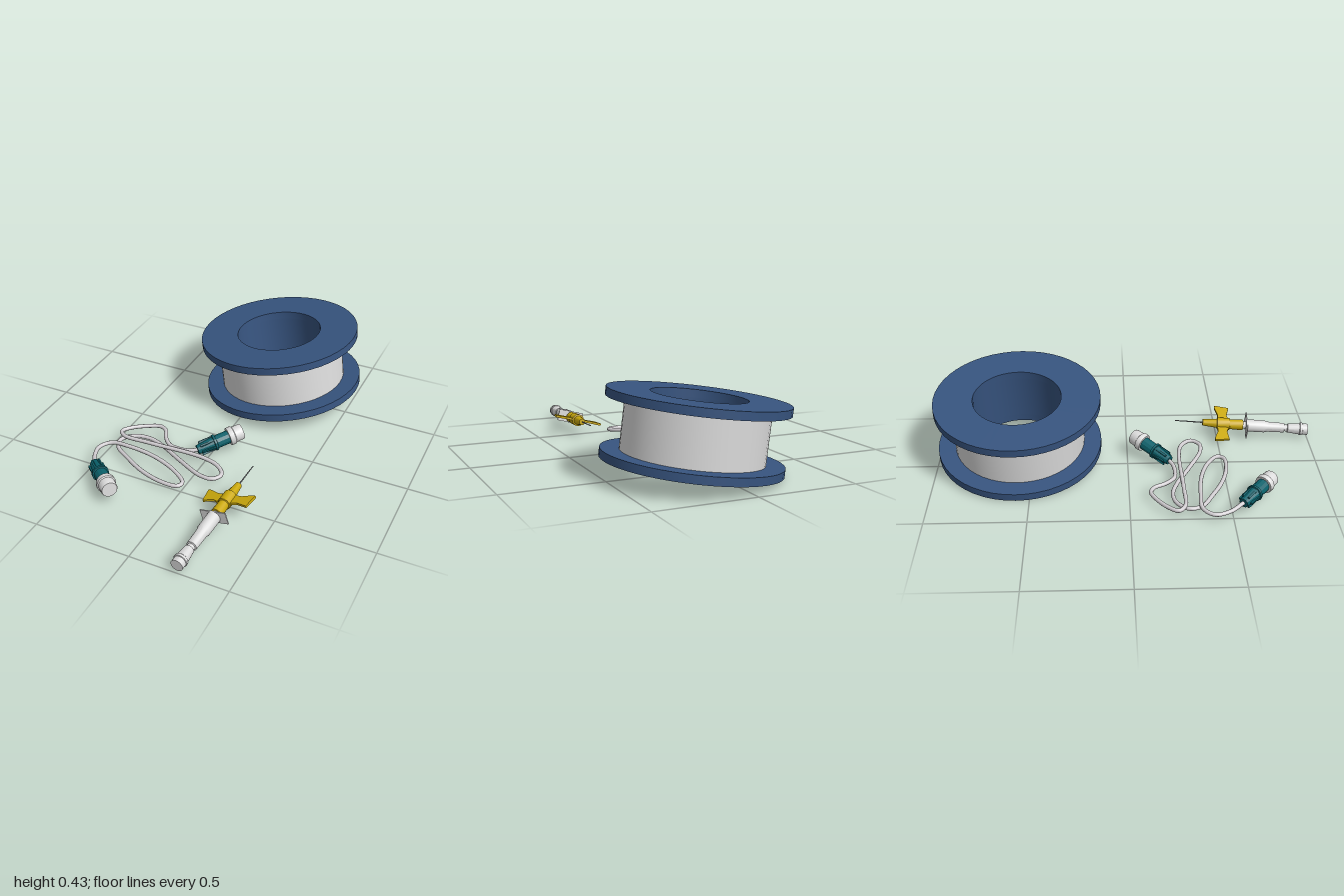
import * as THREE from 'three';
import { toCreasedNormals } from 'three/addons/utils/BufferGeometryUtils.js';

const V = (x, y, z) => new THREE.Vector3(x, y, z);

function material(name, color, side = THREE.FrontSide) {
  const m = new THREE.MeshStandardMaterial({ color, side });
  m.name = name;
  return m;
}

function mesh(name, geometry, mat, parent) {
  const m = new THREE.Mesh(geometry, mat);
  m.name = name;
  parent.add(m);
  return m;
}

// Turned part around y, with sharp edges kept
function turned(profile, segments, crease = 0.6) {
  const points = profile.map(([r, y]) => new THREE.Vector2(r, y));
  return toCreasedNormals(new THREE.LatheGeometry(points, segments), crease);
}

// Group whose local y runs from a to b, with local x close to the side vector
function alongAxis(name, a, b, side) {
  const f = b.clone().sub(a).normalize();
  const s = side.clone().addScaledVector(f, -side.dot(f)).normalize();
  const g = new THREE.Group();
  g.name = name;
  g.quaternion.setFromRotationMatrix(new THREE.Matrix4().makeBasis(s, f, s.clone().cross(f)));
  g.position.copy(a);
  return g;
}

export function createModel() {
  const blue = material('spool blue', 0x37547f);
  const white = material('white plastic', 0xdcdcdc);
  const cordGrey = material('cord grey', 0xd2ced2);
  const teal = material('teal plastic', 0x0b626c);
  const yellow = material('yellow plastic', 0xccaa0c);
  const steel = material('needle steel', 0x85888c);
  const model = new THREE.Group();
  model.name = 'spoolNeedleAndCord';

  // Tilted spool
  const spool = new THREE.Group();
  spool.name = 'spool';
  spool.position.set(0.084, 0.215, -0.568);
  spool.rotation.z = 0.128;
  model.add(spool);
  const R = 0.43, bore = 0.228, H = 0.161, t = 0.04;
  const flange = [[bore, 0], [R, 0], [R, t], [bore, t], [bore, 0]];
  mesh('bottomFlange', turned(flange, 48), blue, spool).position.y = -H;
  mesh('topFlange', turned(flange, 48), blue, spool).position.y = H - t;
  mesh('bore', turned([[bore, H - t], [bore, t - H]], 48), blue, spool);
  mesh('woundHub', turned([[0.34, t - H], [0.34, H - t]], 48), white, spool);

  // Looped cord lying nearly flat
  const path = [
    [-0.045, 0.05, 0.212], [-0.08, 0.043, 0.232], [-0.14, 0.04, 0.24], [-0.2, 0.04, 0.232],
    [-0.25, 0.04, 0.185], [-0.285, 0.04, 0.125], [-0.325, 0.04, 0.107], [-0.39, 0.04, 0.135],
    [-0.46, 0.042, 0.19], [-0.487, 0.043, 0.235], [-0.45, 0.045, 0.268], [-0.3, 0.05, 0.272],
    [0, 0.055, 0.27], [0.1, 0.05, 0.293], [0.148, 0.046, 0.345], [0.12, 0.042, 0.388],
    [0.05, 0.04, 0.388], [-0.1, 0.036, 0.318], [-0.24, 0.032, 0.243], [-0.33, 0.032, 0.216],
    [-0.41, 0.033, 0.232], [-0.46, 0.034, 0.29], [-0.44, 0.034, 0.352], [-0.35, 0.034, 0.412],
    [-0.23, 0.034, 0.475], [-0.1, 0.035, 0.51], [-0.015, 0.036, 0.505], [-0.002, 0.038, 0.475],
    [-0.08, 0.045, 0.415], [-0.22, 0.055, 0.368], [-0.38, 0.056, 0.35], [-0.48, 0.048, 0.352],
    [-0.522, 0.042, 0.405], [-0.5, 0.045, 0.485], [-0.452, 0.06, 0.552],
  ].map((p) => V(...p));
  mesh('cord', new THREE.TubeGeometry(new THREE.CatmullRomCurve3(path), 260, 0.0105, 10), cordGrey, model);

  // Ribbed connectors with white caps at both cord ends
  const connectors = [
    ['backConnector', V(-0.05, 0.048, 0.217), V(0.117, 0.1, 0.035)],
    ['frontConnector', V(-0.457, 0.06, 0.55), V(-0.26, 0.08, 0.722)],
  ];
  for (const [name, a, b] of connectors) {
    const g = alongAxis(name, a, b, V(0, 1, 0));
    model.add(g);
    mesh('grip', turned([[0, 0], [0.024, 0], [0.028, 0.025], [0.036, 0.09], [0.043, 0.092],
      [0.043, 0.104], [0.035, 0.106], [0.035, 0.185], [0, 0.185]], 12, 0.3), teal, g);
    for (let i = 0; i < 6; i++) {
      const angle = (i / 6) * Math.PI * 2;
      const rib = mesh('gripRib', new THREE.BoxGeometry(0.01, 0.075, 0.01), teal, g);
      rib.position.set(Math.sin(angle) * 0.033, 0.055, Math.cos(angle) * 0.033);
      rib.rotation.y = angle;
    }
    mesh('cap', turned([[0, 0.175], [0.046, 0.175], [0.048, 0.182], [0.048, 0.202], [0.042, 0.206],
      [0.041, 0.247], [0.038, 0.253], [0, 0.253]], 24), white, g);
  }

  // Winged needle, tail to tip
  const needle = alongAxis('wingedNeedle', V(0.245, 0.047, 1.0), V(0.285, 0.093, 0.27), V(0.967, 0.255, 0));
  model.add(needle);
  mesh('tailBody', turned([[0, 0], [0.031, 0], [0.031, 0.028], [0.035, 0.03], [0.035, 0.042],
    [0.031, 0.046], [0.024, 0.11], [0.019, 0.113], [0.019, 0.128], [0.026, 0.13],
    [0.028, 0.22], [0.033, 0.24], [0.034, 0.34], [0.02, 0.342], [0.02, 0.365]], 20), white, needle);
  mesh('fingerPlate', new THREE.BoxGeometry(0.14, 0.006, 0.064), white, needle).position.y = 0.338;
  mesh('needleHub', turned([[0, 0.358], [0.029, 0.358], [0.027, 0.43], [0.033, 0.432], [0.033, 0.5],
    [0.025, 0.502], [0.017, 0.58], [0, 0.58]], 16), yellow, needle);
  mesh('needleShaft', new THREE.CylinderGeometry(0.0025, 0.0035, 0.154, 8), steel, needle).position.y = 0.656;

  // Mirrored wings, flaring outward
  for (const s of [1, -1]) {
    const outline = [[0.02, 0.435], [0.045, 0.44], [0.062, 0.446], [0.12, 0.434], [0.132, 0.512],
      [0.115, 0.513], [0.065, 0.496], [0.045, 0.497], [0.02, 0.5]];
    const shape = new THREE.Shape(outline.map(([x, y]) => new THREE.Vector2(s * x, y)));
    const wing = new THREE.ExtrudeGeometry(shape, { depth: 0.012, bevelEnabled: false });
    mesh(s > 0 ? 'leftWing' : 'rightWing', wing, yellow, needle).position.z = -0.006;
  }
  return model;
}
